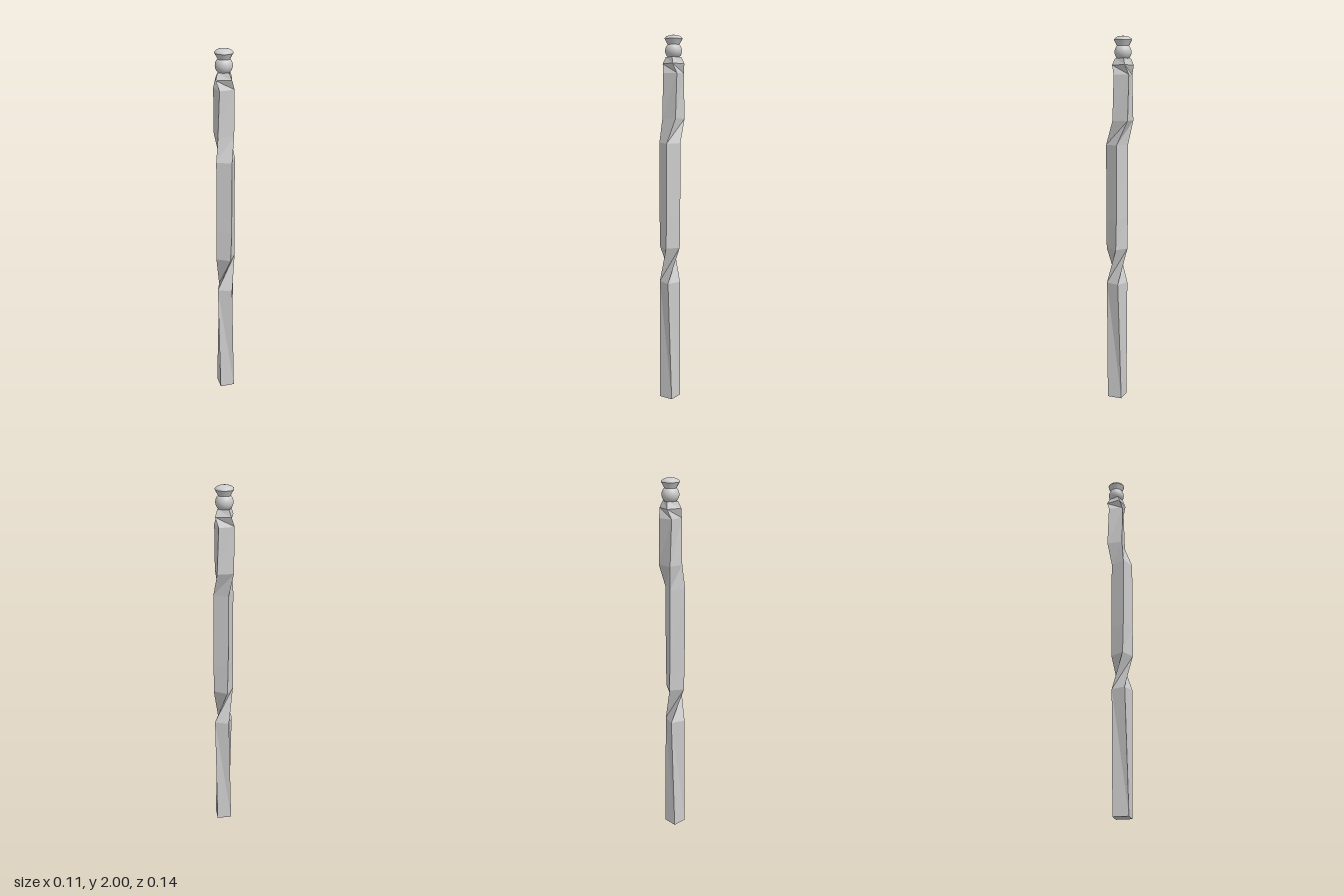
import * as THREE from 'three';

const grey = () => new THREE.MeshStandardMaterial({ color: 0xcccccc });

// Square post cross-sections: height, corner radius, turn in degrees, z of the centre
const sections = [
  [0, 0.058, 45, 0.013],
  [0.665, 0.057, 65, 0.013],
  [0.86, 0.058, -14, 0.013],
  [1.03, 0.059, -18, 0.013],
  [1.43, 0.059, -19, 0.013],
  [1.56, 0.061, -45, -0.021],
  [1.80, 0.058, -53, -0.021],
  [1.85, 0.058, -30, -0.021],
  [1.885, 0.042, -25, -0.021],
];

// Skins the twisted sections with triangles, folding each side inwards along the twist
function twistedPost() {
  const rings = sections.map(([y, r, turn, z]) => [0, 1, 2, 3].map((k) => {
    const a = THREE.MathUtils.degToRad(turn + 90 * k);
    return [r * Math.cos(a), y, z + r * Math.sin(a)];
  }));
  const pos = [];
  const tri = (...corners) => corners.forEach((c) => pos.push(...c));
  for (let i = 0; i < rings.length - 1; i++) {
    const clockwise = sections[i + 1][2] < sections[i][2];
    for (let k = 0; k < 4; k++) {
      const n = (k + 1) % 4;
      const b0 = rings[i][k], b1 = rings[i][n];
      const t0 = rings[i + 1][k], t1 = rings[i + 1][n];
      if (clockwise) { tri(b0, t0, b1); tri(t0, t1, b1); }
      else { tri(b0, t0, t1); tri(b0, t1, b1); }
    }
  }
  // End caps
  const [a, b, c, d] = rings[0];
  tri(a, b, c); tri(a, c, d);
  const [e, f, g, h] = rings[rings.length - 1];
  tri(e, g, f); tri(e, h, g);
  const geo = new THREE.BufferGeometry();
  geo.setAttribute('position', new THREE.Float32BufferAttribute(pos, 3));
  geo.computeVertexNormals();
  return geo;
}

function lathe(points) {
  return new THREE.LatheGeometry(points.map(([x, y]) => new THREE.Vector2(x, y)), 32);
}

export function createModel() {
  const model = new THREE.Group();
  const add = (name, geo, y = 0, z = 0) => {
    const mesh = new THREE.Mesh(geo, grey());
    mesh.name = name;
    mesh.position.set(0, y, z);
    model.add(mesh);
  };

  add('twistedPost', twistedPost());

  // Turned finial: ball, flared collar and shallow domed cap
  const z = -0.021;
  add('finialBall', new THREE.SphereGeometry(0.045, 32, 20), 1.917, z);
  add('finialCollar', lathe([[0.029, 1.94], [0.033, 1.952], [0.047, 1.978]]), 0, z);
  const dome = [];
  for (let i = 0; i <= 8; i++) {
    const a = (i / 8) * Math.PI / 2;
    dome.push([0.048 * Math.cos(a), 1.978 + 0.022 * Math.sin(a)]);
  }
  add('finialCap', lathe(dome), 0, z);
  return model;
}
